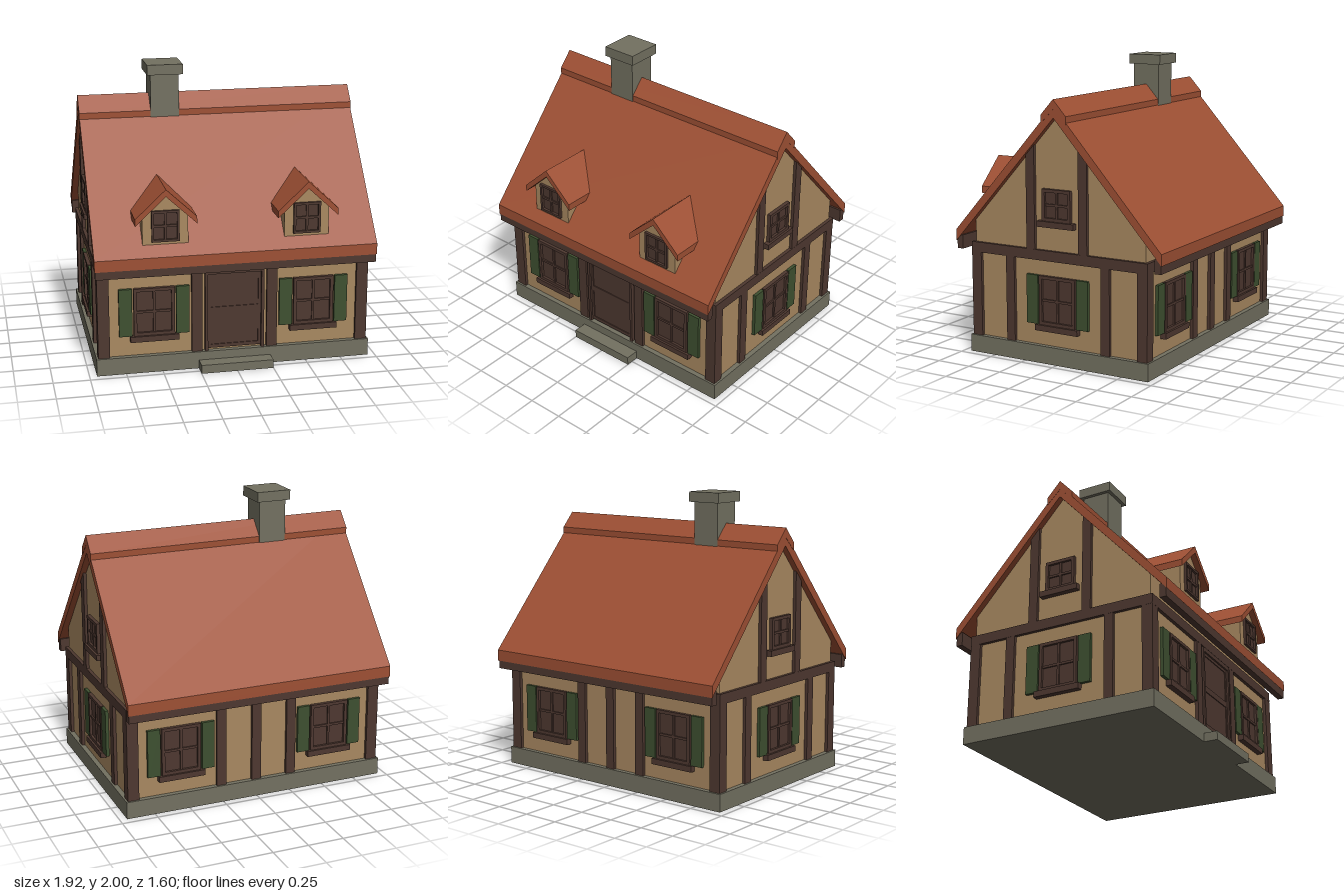
import * as THREE from 'three';

const mat = (name, color) => {
  const m = new THREE.MeshStandardMaterial({ color });
  m.name = name;
  return m;
};

export function createModel() {
  const roofRed = mat('roof tile', 0x9e5034);
  const plaster = mat('plaster', 0xa98961);
  const timber = mat('dark timber', 0x4e3830);
  const stone = mat('stone', 0x737161);
  const green = mat('shutter green', 0x3e5030);

  const house = new THREE.Group();
  house.name = 'cottage';

  // Box given by its minimum and maximum on each axis
  function box(parent, name, material, [x0, x1], [y0, y1], [z0, z1]) {
    const mesh = new THREE.Mesh(new THREE.BoxGeometry(x1 - x0, y1 - y0, z1 - z0), material);
    mesh.position.set((x0 + x1) / 2, (y0 + y1) / 2, (z0 + z1) / 2);
    mesh.name = name;
    parent.add(mesh);
    return mesh;
  }

  // Outline extruded along z from z0 to z1
  function prism(parent, name, material, points, z0, z1) {
    const shape = new THREE.Shape(points.map(([x, y]) => new THREE.Vector2(x, y)));
    const geo = new THREE.ExtrudeGeometry(shape, { depth: z1 - z0, bevelEnabled: false });
    geo.translate(0, 0, z0);
    const mesh = new THREE.Mesh(geo, material);
    mesh.name = name;
    parent.add(mesh);
    return mesh;
  }

  // Outline in (z, y), extruded along x
  function prismX(parent, name, material, points, x0, x1) {
    const mesh = prism(parent, name, material, points, -x1, -x0);
    mesh.geometry.rotateY(-Math.PI / 2);
    return mesh;
  }

  // Symmetric gabled slab: half width, eave top and bottom, apex top and bottom
  const gable = (w, eaveTop, eaveLow, apexTop, apexLow) =>
    [[-w, eaveLow], [0, apexLow], [w, eaveLow], [w, eaveTop], [0, apexTop], [-w, eaveTop]];

  // Window facing +z with its wall at z = 0
  function windowUnit({ w, h, sill = 0, shutters = false, border = 0.022 }) {
    const g = new THREE.Group();
    g.name = 'window';
    const a = w / 2, b = h / 2, i = a - border, j = b - border;
    box(g, 'windowPane', timber, [-i, i], [-j, j], [-0.01, 0.008]);
    for (const s of [-1, 1]) {
      const side = [s * (i + a) / 2 - border / 2, s * (i + a) / 2 + border / 2];
      const rail = [s * (j + b) / 2 - border / 2, s * (j + b) / 2 + border / 2];
      box(g, 'windowFrameSide', timber, side, [-b, b], [-0.01, 0.025]);
      box(g, 'windowFrameRail', timber, [-i, i], rail, [-0.01, 0.025]);
      if (shutters) {
        const c = s * (a + 0.055);
        box(g, 'shutter', green, [c - 0.045, c + 0.045], [-b, b], [-0.01, 0.022]);
      }
    }
    box(g, 'verticalGlazingBar', timber, [-0.008, 0.008], [-j, j], [0, 0.018]);
    box(g, 'horizontalGlazingBar', timber, [-i, i], [-0.008, 0.008], [0, 0.018]);
    if (sill) box(g, 'windowSill', timber, [-sill / 2, sill / 2], [-b - 0.04, -b], [-0.01, 0.04]);
    return g;
  }

  function placeWindow(options, x, y, z, turn = 0) {
    const g = windowUnit(options);
    g.position.set(x, y, z);
    g.rotation.y = turn;
    house.add(g);
  }

  const wallX = 0.915, wallZ = 0.665, postX = 0.937, postZ = 0.687;
  const underRoof = (z) => 1.665 - 1.113 * Math.abs(z);

  // Foundation and doorstep
  box(house, 'foundation', stone, [-0.95, 0.95], [0, 0.12], [-0.7, 0.7]);
  box(house, 'doorstep', stone, [-0.25, 0.25], [0, 0.06], [0.69, 0.795]);

  // Walls with gables
  prismX(house, 'walls', plaster, [
    [-wallZ, 0.11], [wallZ, 0.11], [wallZ, underRoof(wallZ) + 0.01],
    [0, 1.675], [-wallZ, underRoof(wallZ) + 0.01],
  ], -wallX, wallX);

  // Timber frame: corner posts, wall posts and the beam ring
  for (const sx of [-1, 1]) for (const sz of [-1, 1]) {
    const cx = sx * (postX - 0.04), cz = sz * (postZ - 0.038);
    box(house, 'cornerPost', timber, [cx - 0.04, cx + 0.04], [0.12, 0.71], [cz - 0.038, cz + 0.038]);
    const mx = sx * 0.92, mz = sz * 0.372;
    box(house, 'sidePost', timber, [mx - 0.017, mx + 0.017], [0.12, 0.71], [mz - 0.033, mz + 0.033]);
    const p = sz > 0 ? [0.17, 0.236] : [-0.236, -0.17];
    prismX(house, 'gablePost', timber, [
      [p[0], 0.77], [p[1], 0.77], [p[1], underRoof(p[1]) + 0.01], [p[0], underRoof(p[0]) + 0.01],
    ], mx - 0.017, mx + 0.017);
  }
  for (const x of [-0.26, 0.26]) {
    box(house, 'frontPost', timber, [x - 0.036, x + 0.036], [0.12, 0.71], [0.65, postZ]);
  }
  for (const x of [-0.26, 0, 0.26]) {
    box(house, 'backPost', timber, [x - 0.034, x + 0.034], [0.12, 0.71], [-postZ, -0.65]);
  }
  for (const s of [-1, 1]) {
    const x = s * 0.92, z = s * 0.67;
    box(house, 'sideBeam', timber, [x - 0.018, x + 0.018], [0.705, 0.775], [-postZ, postZ]);
    box(house, 'longBeam', timber, [-postX, postX], [0.705, 0.775], [z - 0.018, z + 0.018]);
    box(house, 'eaveBoard', timber, [-0.955, 0.955], [0.72, 0.815], [s * 0.772 - 0.023, s * 0.772 + 0.023]);
  }

  // Main roof and ridge cap
  prismX(house, 'roof', roofRed, gable(0.8, 0.852, 0.775, 1.746, 1.665), -0.96, 0.96);
  prismX(house, 'ridgeCap', roofRed, gable(0.097, 1.68, 1.625, 1.787, 1.72), -0.962, 0.962);

  // Chimney
  box(house, 'chimney', stone, [-0.47, -0.273], [1.5, 1.94], [-0.1, 0.1]);
  box(house, 'chimneyCap', stone, [-0.495, -0.247], [1.93, 2], [-0.125, 0.125]);

  // Door with frame and panel rails
  const door = new THREE.Group();
  door.name = 'door';
  house.add(door);
  box(door, 'doorLeaf', timber, [-0.185, 0.185], [0.135, 0.68], [0.65, 0.674]);
  box(door, 'doorHead', timber, [-0.205, 0.205], [0.67, 0.7], [0.65, 0.692]);
  for (const s of [-1, 1]) {
    box(door, 'doorJamb', timber, [s * 0.195 - 0.01, s * 0.195 + 0.01], [0.12, 0.67], [0.65, 0.692]);
    box(door, 'doorStile', timber, [s * 0.174 - 0.009, s * 0.174 + 0.009], [0.135, 0.67], [0.66, 0.68]);
  }
  for (const [y0, y1] of [[0.135, 0.16], [0.39, 0.43], [0.65, 0.67]]) {
    box(door, 'doorRail', timber, [-0.165, 0.165], [y0, y1], [0.66, 0.68]);
  }

  // Windows on all four walls
  const large = { w: 0.28, h: 0.336, sill: 0.332, shutters: true };
  const small = { w: 0.22, h: 0.215, sill: 0.284 };
  for (const s of [-1, 1]) {
    placeWindow(large, s * 0.552, 0.433, wallZ);
    placeWindow(large, s * 0.552, 0.433, -wallZ, Math.PI);
    placeWindow(large, s * wallX, 0.433, 0, s * Math.PI / 2);
    placeWindow(small, s * wallX, 1.083, 0, s * Math.PI / 2);
  }

  // Dormers
  for (const x of [-0.48, 0.48]) {
    const d = new THREE.Group();
    d.name = 'dormer';
    d.position.x = x;
    prism(d, 'dormerWalls', plaster, [
      [-0.153, 0.92], [0.153, 0.92], [0.153, 1.12], [0, 1.262], [-0.153, 1.12],
    ], 0.42, 0.737);
    prism(d, 'dormerRoof', roofRed, gable(0.206, 1.113, 1.065, 1.306, 1.257), 0.385, 0.778);
    const w = windowUnit({ w: 0.186, h: 0.213, border: 0.016 });
    w.position.set(0, 1.049, 0.73);
    d.add(w);
    house.add(d);
  }
  return house;
}
